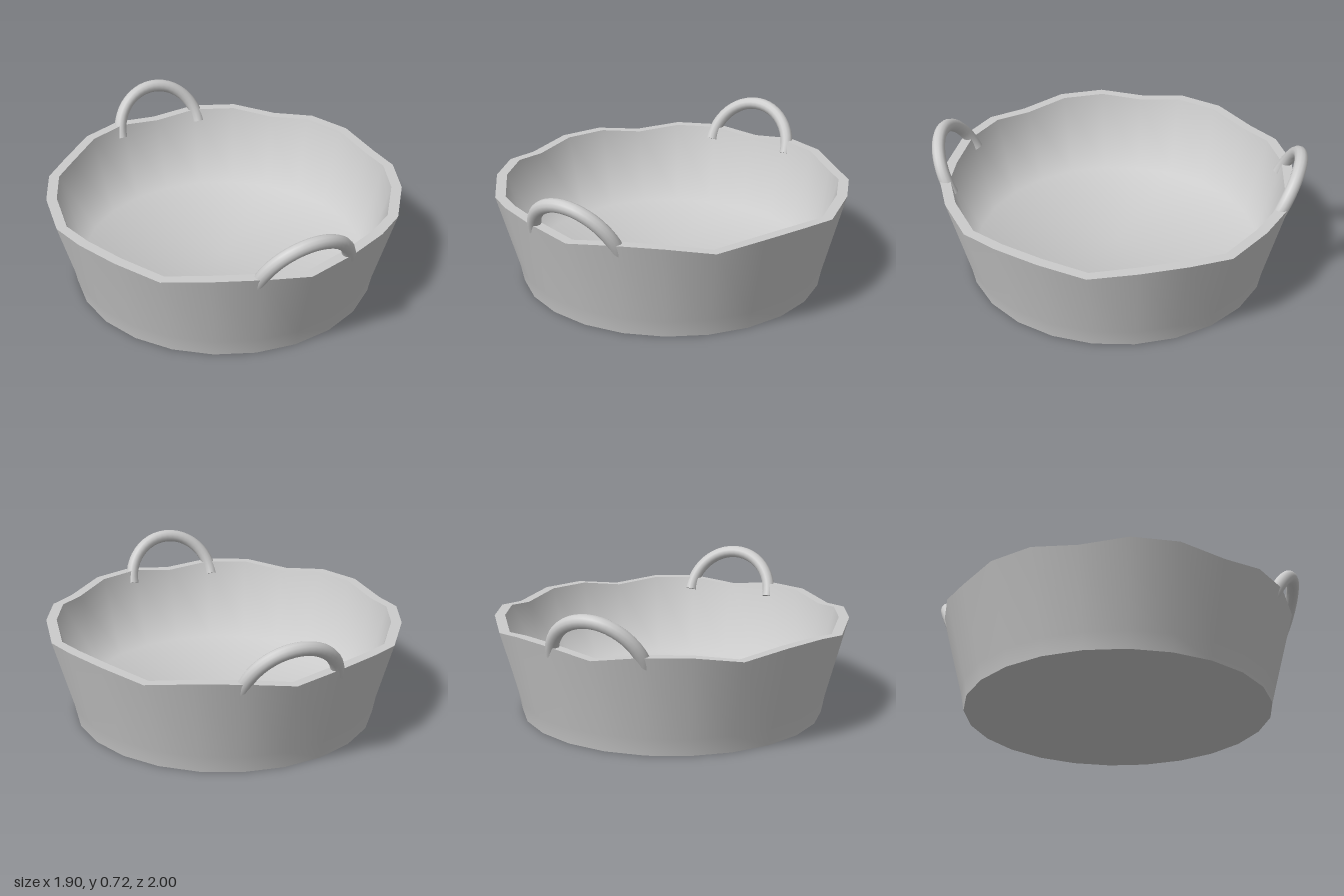
import * as THREE from 'three';

const SIDES = 24;
const RIM_LOW = 0.495, RIM_HIGH = 0.53;
const OUTER_RIM = 0.95, INNER_RIM = 0.895;

const material = new THREE.MeshStandardMaterial({ color: 0xcccccc });

// Revolved surface; every point given at RIM_LOW is raised to the wavy rim line
function revolved(name, profile) {
  const geometry = new THREE.LatheGeometry(profile.map(([r, y]) => new THREE.Vector2(r, y)), SIDES);
  const position = geometry.attributes.position;
  for (let i = 0; i < position.count; i++) {
    const side = Math.floor(i / profile.length);
    if (Math.abs(position.getY(i) - RIM_LOW) < 1e-4 && side % 3 !== 0) position.setY(i, RIM_HIGH);
  }
  const mesh = new THREE.Mesh(geometry, material);
  mesh.name = name;
  return mesh;
}

// Half-round carrying handle leaning outwards, its ends sunk into the wall
class HandleCurve extends THREE.Curve {
  getPoint(t, target = new THREE.Vector3()) {
    const a = Math.PI * t;
    const rise = 0.26 * Math.sin(a);
    return target.set(-0.25 * Math.cos(a), 0.455 + rise * 0.904, 0.853 + rise * 0.427);
  }
}

function handle(name) {
  const group = new THREE.Group();
  group.name = name;
  const curve = new HandleCurve();
  const bar = new THREE.Mesh(new THREE.TubeGeometry(curve, 24, 0.035, 12), material);
  bar.name = 'handleBar';
  group.add(bar);
  // flat ends of the bar
  for (const t of [0, 1]) {
    const cap = new THREE.Mesh(new THREE.CircleGeometry(0.035, 12), material);
    cap.name = 'handleEnd';
    const outward = curve.getTangent(t).multiplyScalar(t === 0 ? -1 : 1);
    cap.quaternion.setFromUnitVectors(new THREE.Vector3(0, 0, 1), outward);
    cap.position.copy(curve.getPoint(t));
    group.add(cap);
  }
  return group;
}

export function createModel() {
  const model = new THREE.Group();
  model.name = 'basin';

  model.add(
    revolved('underside', [[0, 0], [0.818, 0]]),
    revolved('outerWall', [[0.818, 0], [0.835, 0.09], [OUTER_RIM, RIM_LOW]]),
    revolved('rim', [[OUTER_RIM, RIM_LOW], [INNER_RIM, RIM_LOW]]),
    revolved('inside', [[INNER_RIM, RIM_LOW], [0.78, 0.085], [0, 0.085]])
  );

  const front = handle('frontHandle');
  const back = handle('backHandle');
  back.rotation.y = Math.PI;
  model.add(front, back);
  return model;
}
